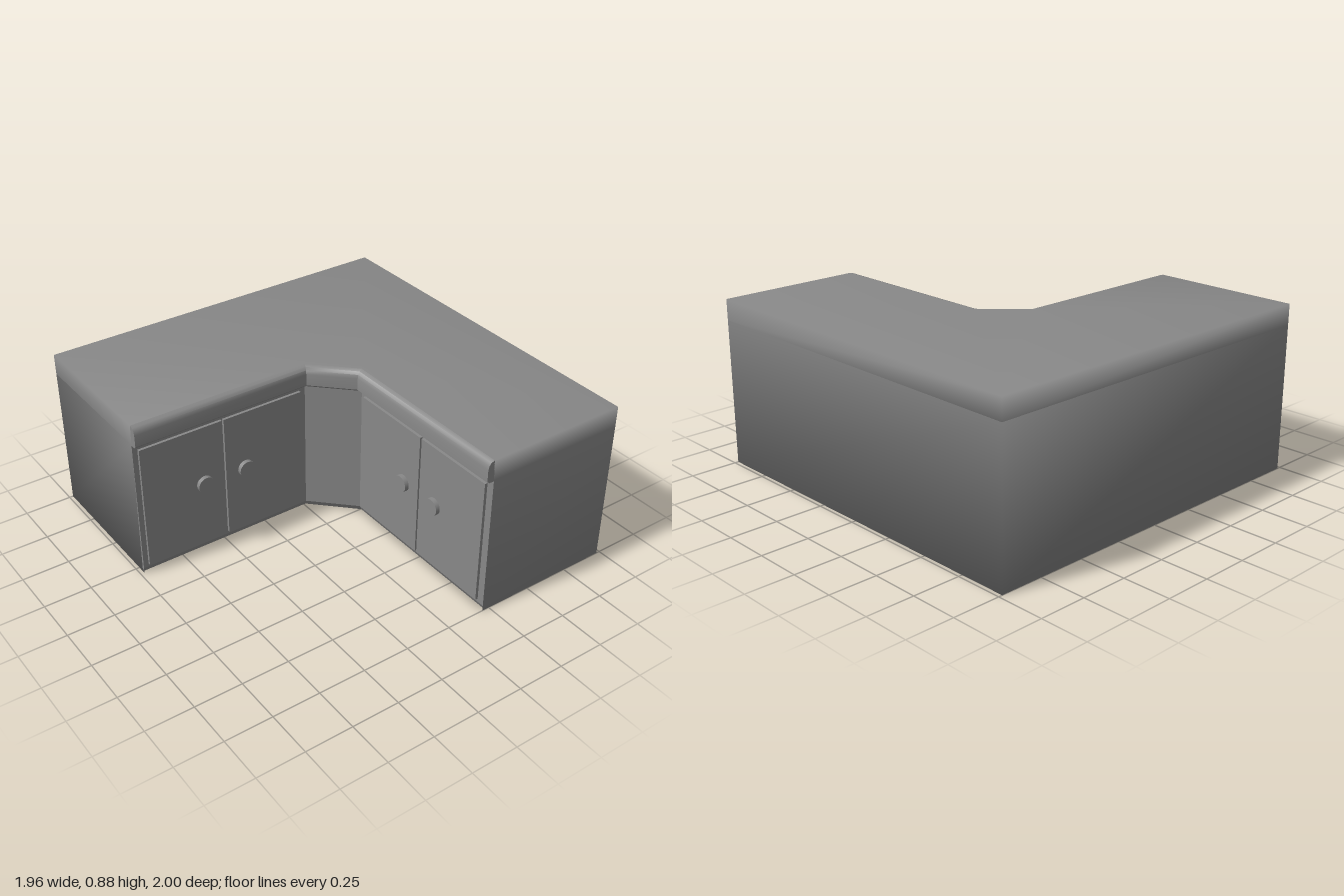
import * as THREE from 'three';
import { toCreasedNormals } from 'three/addons/utils/BufferGeometryUtils.js';

const grey = new THREE.MeshStandardMaterial({ color: 0x888888 });

// L-shaped plan with a chamfered inner corner; d insets only the working fronts
function plan(d) {
  const e = 0.17 + d, f = 0.158 + d, c = 0.145 + 1.414 * d;
  return [[-0.98, -1], [-0.98, -f], [c - f, -f], [e, e - c], [e, 1], [0.98, 1], [0.98, -1]];
}
const OUTER = [4, 5, 6, 0]; // back, sides and end walls
const FRONT = [1, 2, 3]; // working fronts and diagonal corner
const CAP = [[0, 1, 2], [0, 2, 6], [2, 3, 6], [3, 4, 5], [3, 5, 6]];

// Chosen walls between stacked outlines, each given as [height, inset]
function walls(levels, edges) {
  const pos = [], idx = [], n = 7;
  levels.forEach(([y, d]) => plan(d).forEach(([x, z]) => pos.push(x, y, z)));
  for (let k = 0; k < levels.length - 1; k++) {
    for (const i of edges) {
      const a = k * n + i, b = k * n + (i + 1) % n;
      idx.push(a, b, b + n, a, b + n, a + n);
    }
  }
  return { pos, idx };
}

function toGeometry({ pos, idx }) {
  const g = new THREE.BufferGeometry();
  g.setAttribute('position', new THREE.Float32BufferAttribute(pos, 3));
  g.setIndex(idx);
  g.computeVertexNormals();
  return g;
}

// Outer walls blended smoothly into a top or a bottom face
function shell(y0, y1, inset, capOnTop) {
  const data = walls([[y0, inset], [y1, inset]], OUTER);
  for (const [a, b, c] of CAP) {
    if (capOnTop) data.idx.push(a + 7, b + 7, c + 7);
    else data.idx.push(a, c, b);
  }
  return toGeometry(data);
}

// Profile swept along the fronts, with both ends closed
function frontStrip(levels, crease) {
  const data = walls(levels, FRONT);
  for (let k = 1; k < levels.length - 1; k++) {
    const p = k * 7, q = p + 7;
    data.idx.push(1, p + 1, q + 1, 4, q + 4, p + 4);
  }
  return toCreasedNormals(toGeometry(data), crease);
}

function add(parent, name, geometry, x = 0, y = 0, z = 0) {
  const m = new THREE.Mesh(geometry, grey);
  m.name = name;
  m.position.set(x, y, z);
  parent.add(m);
}

// Pair of doors with round knobs, facing +z
function doorPair() {
  const g = new THREE.Group();
  g.name = 'doorPair';
  for (const s of [-1, 1]) {
    add(g, 'door', new THREE.BoxGeometry(0.455, 0.685, 0.03), s * 0.233, 0.39, 0);
    const knob = new THREE.CylinderGeometry(0.045, 0.045, 0.024, 24).rotateX(Math.PI / 2);
    add(g, 'knob', knob, s * 0.12, 0.407, 0.026);
  }
  return g;
}

export function createModel() {
  const model = new THREE.Group();
  model.name = 'cornerCabinet';

  // carcass: outer shell with base, and front panels with a bevelled foot
  add(model, 'cabinetShell', shell(0, 0.77, 0.04, false));
  add(model, 'cabinetFront', frontStrip([[0, 0.055], [0.03, 0.04], [0.77, 0.04]], 0.3));

  // worktop with a rounded front lip
  add(model, 'worktop', shell(0.77, 0.88, 0.035, true));
  add(model, 'worktopLip', frontStrip([
    [0.765, 0.04], [0.765, 0.012], [0.777, 0], [0.84, 0],
    [0.86, 0.005], [0.874, 0.016], [0.88, 0.035],
  ], 0.7));

  // doors on both arms
  const back = doorPair();
  back.position.set(-0.492, 0, -0.198);
  model.add(back);
  const side = doorPair();
  side.rotation.y = -Math.PI / 2;
  side.position.set(0.21, 0, 0.5);
  model.add(side);

  return model;
}
